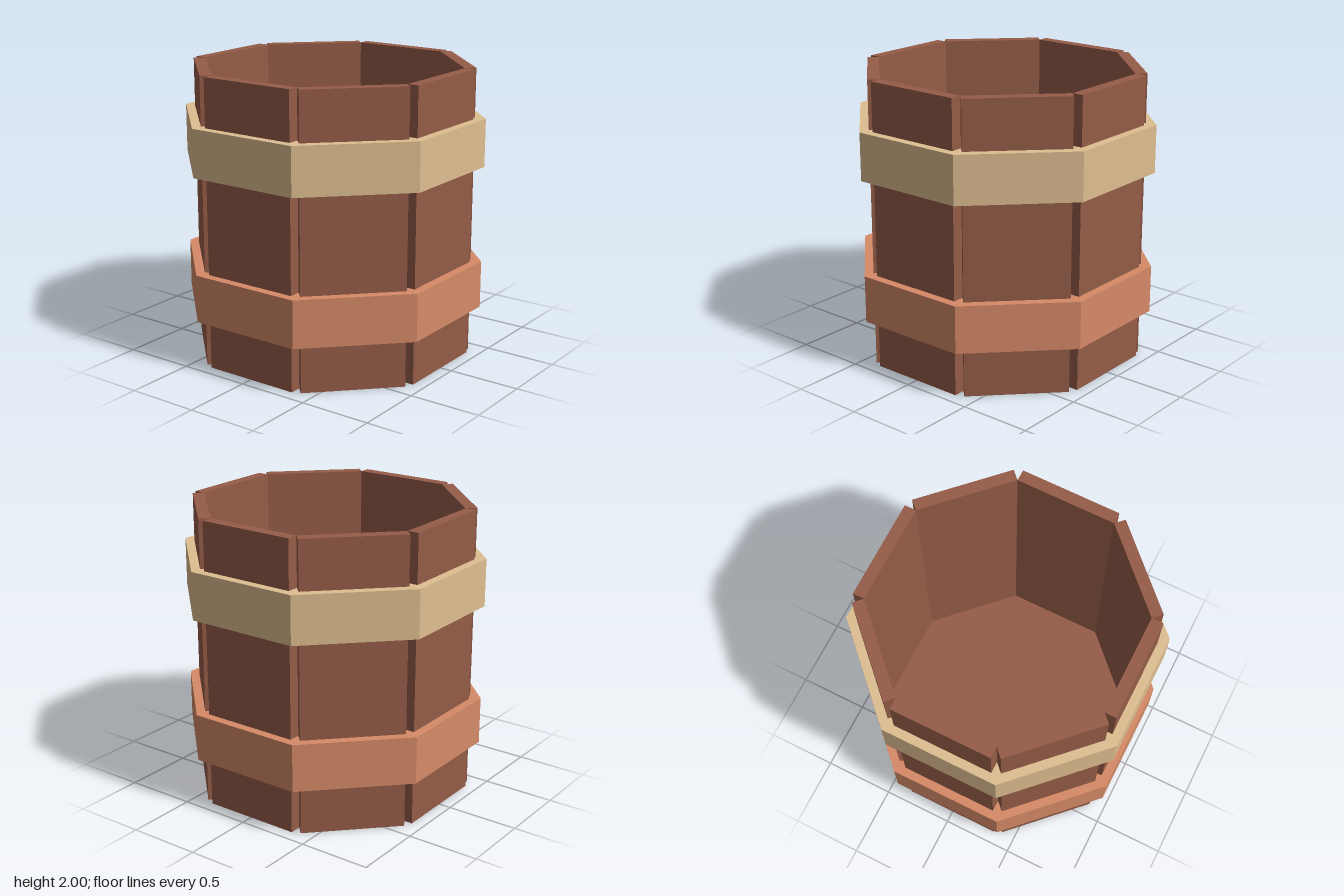
import * as THREE from 'three';

const INNER = 0.835;   // distance from the axis to the inside of the staves
const THICK = 0.08;
const HEIGHT = 2;

// Corners of a regular octagon with flat sides facing the axes
function octagon(apothem) {
  const r = apothem / Math.cos(Math.PI / 8);
  return Array.from({ length: 8 }, (_, i) => {
    const a = Math.PI / 8 + (i * Math.PI) / 4;
    return new THREE.Vector2(r * Math.cos(a), r * Math.sin(a));
  });
}

// Upright octagonal slab, with an optional octagonal hole
function octagonSlab(outer, inner, y, height) {
  const shape = new THREE.Shape(octagon(outer));
  if (inner) shape.holes.push(new THREE.Path(octagon(inner).reverse()));
  return new THREE.ExtrudeGeometry(shape, { depth: height, bevelEnabled: false })
    .rotateX(-Math.PI / 2)
    .translate(0, y, 0);
}

export function createModel() {
  const wood = new THREE.MeshStandardMaterial({ color: 0x955c48 });
  wood.name = 'brownWood';
  const sand = new THREE.MeshStandardMaterial({ color: 0xdebe90 });
  sand.name = 'sandBand';
  const copper = new THREE.MeshStandardMaterial({ color: 0xd68a68 });
  copper.name = 'copperBand';

  const barrel = new THREE.Group();
  barrel.name = 'barrel';
  const add = (name, geometry, material) => {
    const mesh = new THREE.Mesh(geometry, material);
    mesh.name = name;
    barrel.add(mesh);
    return mesh;
  };

  // Eight staves that meet at their inner edges, leaving wedge-shaped gaps outside
  const width = 2 * INNER * Math.tan(Math.PI / 8);
  const staveGeometry = new THREE.BoxGeometry(width, HEIGHT, THICK)
    .translate(0, HEIGHT / 2, INNER + THICK / 2);
  for (let i = 0; i < 8; i++) {
    add(`stave${i + 1}`, staveGeometry, wood).rotation.y = (i * Math.PI) / 4;
  }

  // Floor closing the bottom; the top stays open
  add('floor', octagonSlab(INNER, 0, 0, THICK), wood);

  // Two hoops around the staves
  add('lowerBand', octagonSlab(0.975, INNER + 0.005, 0.335, 0.33), copper);
  add('upperBand', octagonSlab(0.975, INNER + 0.005, 1.335, 0.33), sand);

  return barrel;
}
